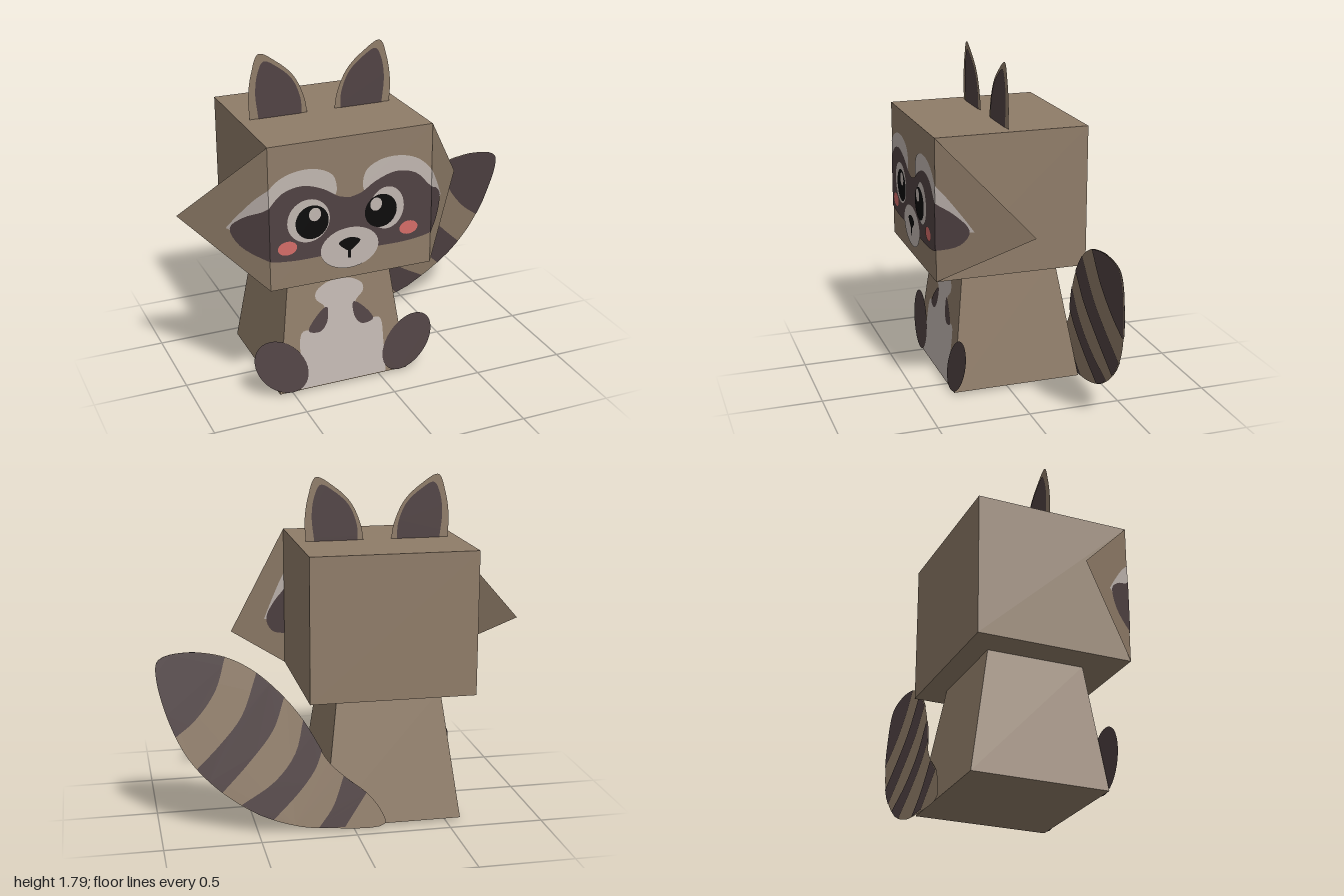
import * as THREE from 'three';

const CX = -0.21;      // middle of head and body
const PX = -0.222;     // middle of the painted face
const HALF = 0.44;     // half width of the head

const mat = (name, color) => {
  const m = new THREE.MeshStandardMaterial({ color, side: THREE.DoubleSide });
  m.name = name;
  return m;
};

// surfaces the flat parts lie on: z as a rule of x and y
const headFront = () => 0.42;
const cheekPlane = (x) => 0.42 - 1.2 * (Math.abs(x - CX) - HALF);
const bodyFront = (x, y) => 0.31 - 0.119 * y;
const tailPlane = (x, y) => -0.42 + 0.16 * y;
const earPlane = () => 0.01;

// smooth open or closed curve through a few points
function smooth(pts, closed = false, n = 48) {
  const c = new THREE.CatmullRomCurve3(pts.map(([x, y]) => new THREE.Vector3(x, y, 0)), closed);
  return c.getPoints(n).slice(0, closed ? n : n + 1).map((p) => [p.x, p.y]);
}

function ellipse(cx, cy, a, b, turn = 0, n = 36) {
  const c = Math.cos(turn), s = Math.sin(turn), out = [];
  for (let i = 0; i < n; i++) {
    const t = (i / n) * Math.PI * 2, u = a * Math.cos(t), v = b * Math.sin(t);
    out.push([cx + u * c - v * s, cy + u * s + v * c]);
  }
  return out;
}

// keep the part of an outline where sign * (x - limit) <= 0
function clip(pts, limit, sign) {
  const out = [];
  pts.forEach((p, i) => {
    const q = pts[(i + 1) % pts.length];
    const dp = sign * (p[0] - limit), dq = sign * (q[0] - limit);
    if (dp <= 0) out.push(p);
    if (dp * dq < 0) {
      const t = dp / (dp - dq);
      out.push([limit, p[1] + t * (q[1] - p[1])]);
    }
  });
  return out;
}

const flip = (pts, side, cx) => pts.map(([u, y]) => [cx + side * u, y]);

export function createModel() {
  const model = new THREE.Group();
  const brown = mat('brown fur', 0x8f7c68);
  const dark = mat('dark fur', 0x504243);
  const light = mat('light fur', 0xc0b6b0);
  const black = mat('black', 0x0b0a0a);
  const pink = mat('pink blush', 0xd46c68);

  const add = (name, geo, material) => {
    const mesh = new THREE.Mesh(geo, material);
    mesh.name = name;
    model.add(mesh);
    return mesh;
  };
  // flat outline laid on a surface
  const plate = (name, material, pts, surface, offset = 0) => {
    const geo = new THREE.ShapeGeometry(new THREE.Shape(pts.map(([x, y]) => new THREE.Vector2(x, y))));
    const p = geo.attributes.position;
    for (let i = 0; i < p.count; i++) p.setZ(i, surface(p.getX(i), p.getY(i)) + offset);
    geo.computeVertexNormals();
    return add(name, geo, material);
  };
  const bothFaces = (name, material, pts, surface, offset) => {
    plate(name + 'Front', material, pts, surface, offset);
    plate(name + 'Back', material, pts, surface, -offset);
  };

  // head
  add('head', new THREE.BoxGeometry(2 * HALF, 0.765, 0.83).translate(CX, 1.0655, 0.005), brown);

  // body: a box narrowed towards the top
  const body = new THREE.BoxGeometry(1, 0.68, 1).translate(0, 0.346, 0);
  const bp = body.attributes.position;
  for (let i = 0; i < bp.count; i++) {
    const top = bp.getY(i) > 0.3;
    bp.setX(i, CX + bp.getX(i) * (top ? 0.555 : 0.735));
    bp.setZ(i, bp.getZ(i) * (top ? 0.52 : 0.72) - (top ? 0.03 : 0.05));
  }
  body.computeVertexNormals();
  add('body', body, brown);

  // half outlines, measured outwards from the middle
  const brow = smooth([[0.59, 0.98], [0.545, 1.06], [0.46, 1.19], [0.38, 1.27], [0.28, 1.305],
    [0.17, 1.3], [0.09, 1.255], [0.07, 1.18], [0.08, 1.14]]).concat([[0.3, 1.1], [0.56, 0.97]]);
  const mask = smooth([[0, 1.125], [0.06, 1.14], [0.14, 1.19], [0.25, 1.225], [0.36, 1.2], [0.45, 1.11],
    [0.52, 1.06], [0.575, 0.985], [0.54, 0.9], [0.44, 0.85], [0.3, 0.83], [0.15, 0.83], [0, 0.83]]);
  const belly = smooth([[0, 0.59], [0.07, 0.58], [0.13, 0.54], [0.135, 0.5], [0.09, 0.45], [0.085, 0.4],
    [0.13, 0.33], [0.22, 0.33], [0.24, 0.18], [0.245, 0.012]]).concat([[0, 0.012]]);
  const paw = smooth([[0.075, 0.445], [0.11, 0.43], [0.185, 0.33], [0.12, 0.315], [0.08, 0.36]], true);
  const ear = smooth([[0.385, 1.445], [0.39, 1.56], [0.37, 1.69], [0.33, 1.785], [0.235, 1.735],
    [0.145, 1.65], [0.09, 1.53], [0.075, 1.445]]);
  const innerEar = smooth([[0.34, 1.448], [0.353, 1.585], [0.337, 1.69], [0.305, 1.745], [0.235, 1.71],
    [0.155, 1.635], [0.112, 1.53], [0.107, 1.448]]);

  for (const side of [-1, 1]) {
    const tag = side > 0 ? 'left' : 'right';
    const seam = CX + side * HALF;

    // pointed cheek fur swept back from the face
    plate(tag + 'Cheek', brown, flip([[HALF, 1.448], [HALF, 0.683], [0.79, 0.985]], side, CX), cheekPlane);

    // brow and eye mask, folded over the cheek edge
    [['Brow', light, brow, 0.002], ['Mask', dark, mask, 0.004]].forEach(([name, m, half, off]) => {
      const pts = flip(half, side, PX);
      plate(tag + name, m, clip(pts, seam, side), headFront, off);
      bothFaces(tag + 'Cheek' + name, m, clip(pts, seam, -side), cheekPlane, off);
    });

    // eye and blush
    const eyeX = side > 0 ? -0.022 : -0.445;
    const pupilX = side > 0 ? -0.055 : -0.427;
    const glintX = side > 0 ? -0.082 : -0.412;
    plate(tag + 'EyeRim', light, ellipse(eyeX, 1.035, side > 0 ? 0.095 : 0.113, 0.115), headFront, 0.006);
    plate(tag + 'Pupil', black, ellipse(pupilX, 1.025, 0.088, 0.09), headFront, 0.0075);
    plate(tag + 'Glint', light, ellipse(glintX, 1.065, 0.032, 0.036), headFront, 0.009);
    plate(tag + 'Blush', pink, ellipse(PX + side * 0.33 - 0.007, 0.905, 0.051, 0.037), headFront, 0.006);

    // ears
    plate(tag + 'Ear', brown, flip(ear, side, CX), earPlane);
    bothFaces(tag + 'InnerEar', dark, flip(innerEar, side, CX), earPlane, 0.004);

    // belly, paw and foot
    plate(tag + 'Belly', light, flip(belly, side, -0.212), bodyFront, 0.003);
    plate(tag + 'Paw', dark, flip(paw, side, -0.212), bodyFront, 0.005);
    plate(tag + 'Foot', dark, ellipse(side > 0 ? 0.163 : -0.56, 0.161, 0.12, 0.176, -side * 0.72),
      bodyFront, 0.008);
  }

  // muzzle and nose
  plate('muzzle', light, ellipse(-0.225, 0.85, 0.158, 0.112), headFront, 0.006);
  plate('nose', black, smooth([[-0.285, 0.885], [-0.225, 0.908], [-0.168, 0.885], [-0.2, 0.85],
    [-0.227, 0.835], [-0.255, 0.85]], true), headFront, 0.008);
  plate('noseLine', black, [[-0.235, 0.85], [-0.219, 0.85], [-0.219, 0.795], [-0.235, 0.795]],
    headFront, 0.008);

  // tail leaf
  plate('tail', brown, smooth([[-0.165, 0.008], [0.15, 0.008], [0.3, 0.03], [0.5, 0.105], [0.7, 0.245],
    [0.85, 0.415], [0.945, 0.62], [0.995, 0.83], [0.99, 0.91], [0.95, 0.94], [0.82, 0.955], [0.65, 0.925],
    [0.5, 0.845], [0.35, 0.705], [0.24, 0.56], [0.13, 0.36], [0.03, 0.26], [-0.07, 0.18],
    [-0.14, 0.09]], true, 110), tailPlane);

  // tail rings: upper curve, lower edge, lower curve back, upper edge
  const rings = [
    [[[0.05, 0.275], [0.11, 0.12], [0.19, 0.012]], [], [[0.05, 0.008], [0, 0.08], [-0.07, 0.18]], [[-0.01, 0.228]]],
    [[[0.253, 0.58], [0.3, 0.41], [0.41, 0.273], [0.588, 0.163]], [[0.5, 0.105]],
      [[0.425, 0.073], [0.275, 0.22], [0.195, 0.327], [0.16, 0.416]], [[0.205, 0.5]]],
    [[[0.487, 0.835], [0.57, 0.62], [0.68, 0.487], [0.81, 0.362]], [[0.75, 0.293]],
      [[0.685, 0.233], [0.54, 0.38], [0.41, 0.54], [0.348, 0.703]], [[0.42, 0.775]]],
    [[[0.645, 0.923], [0.7, 0.755], [0.81, 0.61], [0.91, 0.532]], [],
      [[0.945, 0.62], [0.975, 0.73], [0.995, 0.83], [0.99, 0.91], [0.95, 0.94], [0.82, 0.955], [0.72, 0.942]], []],
  ];
  rings.forEach(([upper, lowEdge, lower, topEdge], i) => {
    const pts = [...smooth(upper, false, 12), ...lowEdge, ...smooth(lower, false, 24), ...topEdge];
    bothFaces('tailRing' + (i + 1), dark, pts, tailPlane, 0.004);
  });

  return model;
}
